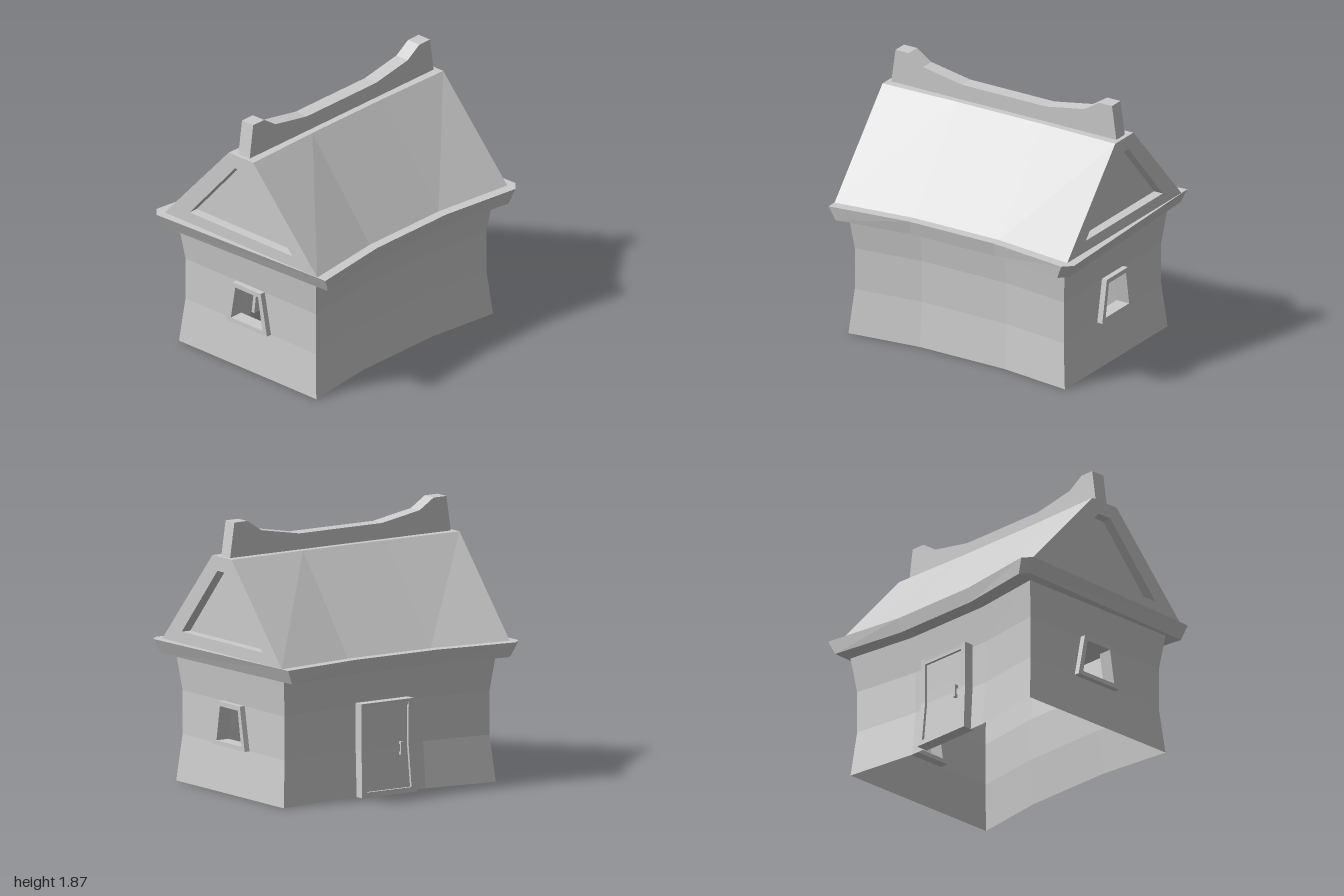
import * as THREE from 'three';

const material = new THREE.MeshStandardMaterial({ color: 0xcccccc, flatShading: true, side: THREE.DoubleSide });

function add(parent, name, geometry) {
  const mesh = new THREE.Mesh(geometry, material);
  mesh.name = name;
  parent.add(mesh);
  return mesh;
}

// Plan outline at height y: long sides bow inward between the corners
function ring(y, corners, zMid) {
  const half = [[-0.34, zMid], [0.34, zMid], ...corners];
  if (corners.length === 2) half.unshift([-corners[0][0], corners[0][1]]);
  else half.unshift([-corners[0][0], corners[0][1]]);
  return [...half, ...half.map(([x, z]) => [-x, -z])]
    .filter(([x, z], i, all) => all.findIndex((p) => p[0] === x && p[1] === z) === i)
    .map(([x, z]) => new THREE.Vector3(x, y, z));
}

// Walls between successive closed rings, leaving out any skipped face
function loft(rings, skip = () => false) {
  const points = [];
  for (let r = 0; r < rings.length - 1; r++) {
    const a = rings[r], b = rings[r + 1], n = a.length;
    for (let i = 0; i < n; i++) {
      if (skip(r, i)) continue;
      const j = (i + 1) % n;
      points.push(a[i], a[j], b[j], a[i], b[j], b[i]);
    }
  }
  const geometry = new THREE.BufferGeometry().setFromPoints(points);
  geometry.computeVertexNormals();
  return geometry;
}

// Flat lid over a ring
function cap(points, up) {
  const shape = new THREE.Shape(points.map((p) => new THREE.Vector2(p.x, up ? -p.z : p.z)));
  return new THREE.ShapeGeometry(shape).rotateX(up ? -Math.PI / 2 : Math.PI / 2).translate(0, points[0].y, 0);
}

// Symmetric trapezoid given half widths and heights
const trapezoid = (wBottom, yBottom, wTop, yTop) => [
  new THREE.Vector2(-wBottom, yBottom), new THREE.Vector2(wBottom, yBottom),
  new THREE.Vector2(wTop, yTop), new THREE.Vector2(-wTop, yTop)];

function holed(outer, inner) {
  const shape = new THREE.Shape(outer);
  shape.holes.push(new THREE.Path(inner));
  return shape;
}

// Outward flare of the walls: 1 at foot and eaves, 0 at the waist
const flare = (y) => (y < 0.32 ? 1 - y / 0.32 : y > 0.62 ? (y - 0.62) / 0.25 : 0);

// Box whose sides follow the waisted wall
function waistedBox(x, y0, y1, z, w, d) {
  const geometry = new THREE.BoxGeometry(w, y1 - y0, d, 1, 8, 1).translate(x, (y0 + y1) / 2, z);
  const p = geometry.attributes.position;
  for (let i = 0; i < p.count; i++) {
    const f = flare(p.getY(i));
    p.setX(i, p.getX(i) * (1 + 0.06 * f));
    p.setZ(i, p.getZ(i) - 0.024 * f);
  }
  geometry.computeVertexNormals();
  return geometry;
}

export function createModel() {
  const house = new THREE.Group();
  house.name = 'house';

  // Walls, open underneath, with the waist band of each end left for a window
  const wallRings = [0, 0.32, 0.62, 0.87].map((y) => {
    const f = flare(y), z = 0.602 + 0.033 * f;
    return ring(y, [[0.84 + 0.03 * f, z]], z * 0.895);
  });
  add(house, 'walls', loft(wallRings, (r, i) => r === 1 && i % 4 === 3));

  // Eaves slab with clipped corners
  const eaves = [
    ring(0.87, [[0.89, 0.76], [0.95, 0.70]], 0.68),
    ring(0.97, [[0.935, 0.78], [1, 0.72]], 0.70),
  ];
  add(house, 'eaves', loft(eaves));
  add(house, 'eavesUnderside', cap(eaves[0], false));
  add(house, 'eavesTop', cap(eaves[1], true));

  // Roof slopes and flat crown
  const roof = [ring(0.97, [[0.935, 0.705]], 0.63), ring(1.63, [[0.935, 0.113]], 0.1)];
  add(house, 'roofSlopes', loft(roof, (r, i) => i % 4 === 3));
  add(house, 'roofCrown', cap(roof[1], true));

  // Ridge board with raised ends
  const half = [[0.905, 1.63], [0.87, 1.87], [0.765, 1.87], [0.65, 1.795], [0.34, 1.74]];
  const profile = [...half, ...half.map(([x, y]) => [-x, y]).reverse()];
  const ridgeShape = new THREE.Shape(profile.map(([x, y]) => new THREE.Vector2(x, y)));
  add(house, 'ridgeBoard', new THREE.ExtrudeGeometry(ridgeShape, { depth: 0.104, bevelEnabled: false }).translate(0, 0, -0.052));

  // End walls: window panel, window frame and recessed gable
  for (const side of [1, -1]) {
    const end = new THREE.Group();
    end.name = side > 0 ? 'leftEnd' : 'rightEnd';
    end.rotation.y = side * Math.PI / 2;
    house.add(end);

    const opening = trapezoid(0.145, 0.35, 0.105, 0.59);
    add(end, 'windowWall', new THREE.ShapeGeometry(holed(trapezoid(0.602, 0.32, 0.602, 0.62), opening)).translate(0, 0, 0.84));
    const frame = holed(trapezoid(0.188, 0.32, 0.13, 0.622), opening);
    add(end, 'windowFrame', new THREE.ExtrudeGeometry(frame, { depth: 0.1, bevelEnabled: false }).translate(0, 0, 0.78));

    const inset = trapezoid(0.475, 1.05, 0.055, 1.53);
    add(end, 'gable', new THREE.ShapeGeometry(holed(trapezoid(0.705, 0.97, 0.113, 1.63), inset)).translate(0, 0, 0.935));
    const at = (z) => inset.map((p) => new THREE.Vector3(p.x, p.y, z));
    add(end, 'gableRecess', loft([at(0.935), at(0.865)]));
    add(end, 'gablePanel', new THREE.ShapeGeometry(new THREE.Shape(inset)).translate(0, 0, 0.865));
  }

  // Back door: frame, leaf and handle
  const door = new THREE.Group();
  door.name = 'door';
  house.add(door);
  for (const s of [1, -1]) add(door, 'doorJamb', waistedBox(s * 0.193, 0, 0.64, -0.564, 0.04, 0.09));
  add(door, 'doorLintel', waistedBox(0, 0.6, 0.64, -0.564, 0.35, 0.09));
  add(door, 'doorSill', waistedBox(0, 0, 0.035, -0.564, 0.35, 0.09));
  add(door, 'doorLeaf', waistedBox(0, 0.035, 0.6, -0.56, 0.35, 0.06));
  add(door, 'doorHandle', new THREE.BoxGeometry(0.02, 0.09, 0.014).translate(-0.115, 0.307, -0.612));
  for (const y of [0.272, 0.342]) add(door, 'handleMount', new THREE.BoxGeometry(0.02, 0.02, 0.03).translate(-0.115, y, -0.597));

  return house;
}
